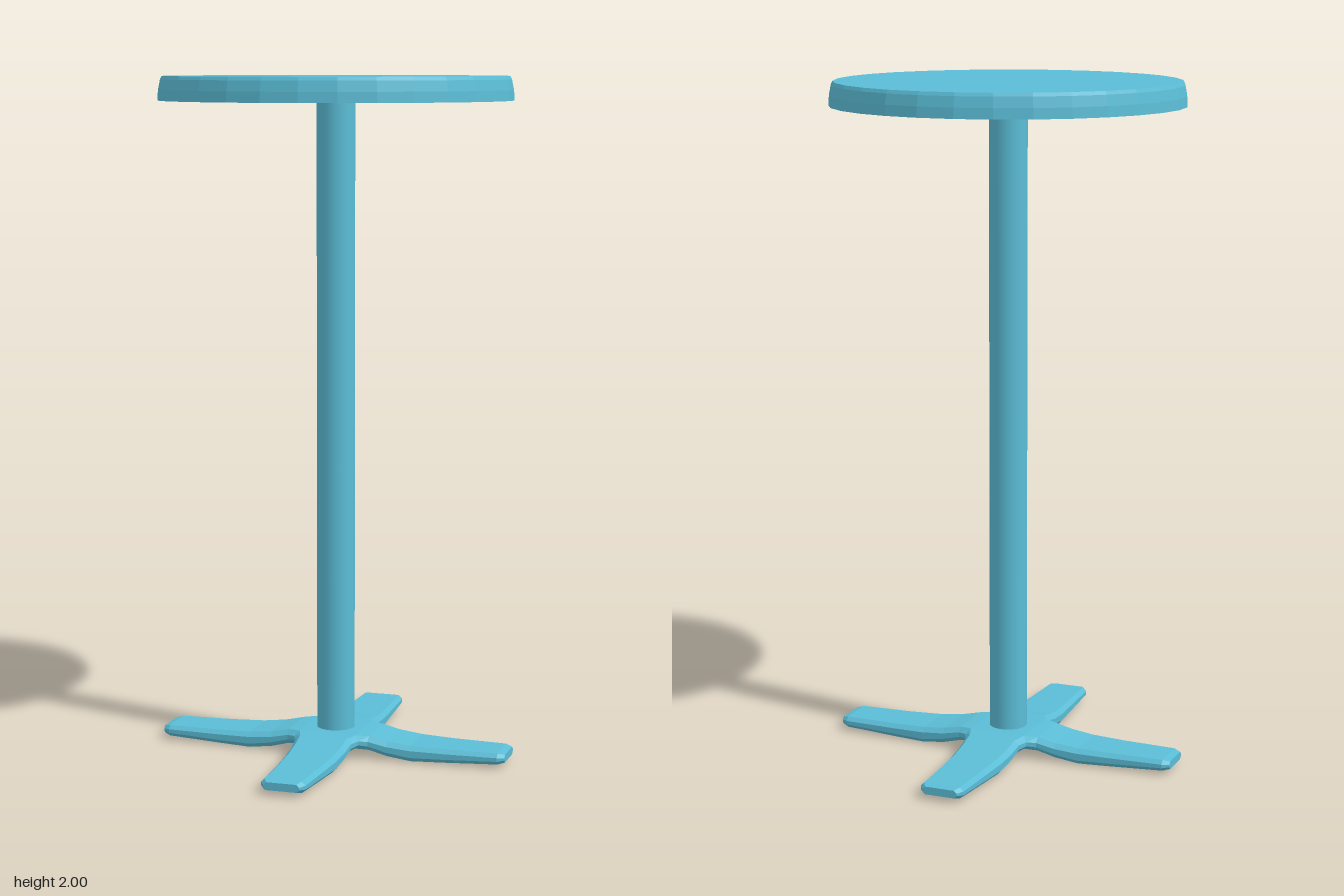
import * as THREE from 'three';

const material = new THREE.MeshStandardMaterial({ color: 0x5bbdd6 });
const flatMaterial = new THREE.MeshStandardMaterial({ color: 0x5bbdd6, flatShading: true });

// One foot along +x, lofted through bevelled cross-sections.
// Rows: distance, half width, bottom, top, bevel inset
function footGeometry(reach) {
  const rows = [
    [0, 0, 0.03, 0.07, 0],
    [0.1, 0.1, 0.03, 0.07, 0.014],
    [0.125, 0.086, 0.025, 0.067, 0.014],
    [0.18, 0.083, 0.01, 0.055, 0.014],
    [0.25, 0.079, 0, 0.047, 0.013],
    [0.35, 0.073, 0.003, 0.044, 0.012],
    [0.51, 0.066, 0.01, 0.043, 0.011],
    [0.53, 0.053, 0.015, 0.038, 0.008],
  ];
  const n = 8, pos = [], idx = [];
  rows.forEach(([d, w, b, t, i], k) => {
    const r = d <= 0.125 ? d : 0.125 + (d - 0.125) * (reach - 0.125) / 0.405;
    const c = Math.min(i, (t - b) * 0.35);
    // the hub corners are bevelled along the diagonal, so the feet meet cleanly
    const ri = k === 1 ? r - i : r;
    pos.push(
      r, b + c, -w, r, t - c, -w, ri, t, -(w - i), ri, t, w - i,
      r, t - c, w, r, b + c, w, ri, b, w - i, ri, b, -(w - i));
  });
  for (let k = 0; k < rows.length - 1; k++) {
    for (let j = 0; j < n; j++) {
      const a = k * n + j, a2 = k * n + (j + 1) % n;
      idx.push(a, a2, a + n, a2, a2 + n, a + n);
    }
  }
  const end = (rows.length - 1) * n;
  for (let j = 1; j < n - 1; j++) idx.push(end, end + j, end + j + 1);
  const g = new THREE.BufferGeometry();
  g.setAttribute('position', new THREE.Float32BufferAttribute(pos, 3));
  g.setIndex(idx);
  g.computeVertexNormals();
  return g;
}

export function createModel() {
  const group = new THREE.Group();
  const add = (name, geometry, mat, parent = group) => {
    const mesh = new THREE.Mesh(geometry, mat);
    mesh.name = name;
    parent.add(mesh);
    return mesh;
  };

  // round top with a softly drawn-in rim
  const profile = [[0, 1.93], [0.515, 1.93], [0.513, 1.96], [0.507, 1.99], [0.502, 2], [0, 2]]
    .map(([x, y]) => new THREE.Vector2(x, y));
  add('tableTop', new THREE.LatheGeometry(profile, 30, Math.PI / 2), flatMaterial);

  // central column
  const column = add('column', new THREE.CylinderGeometry(0.056, 0.056, 1.88, 30, 1, true), material);
  column.position.y = 0.995;

  // four-footed base
  const base = new THREE.Group();
  base.name = 'base';
  group.add(base);
  ['leftFoot', 'backFoot', 'rightFoot', 'frontFoot'].forEach((name, i) => {
    const foot = add(name, footGeometry(i % 2 ? 0.51 : 0.532), flatMaterial, base);
    foot.rotation.y = i * Math.PI / 2;
  });

  return group;
}
